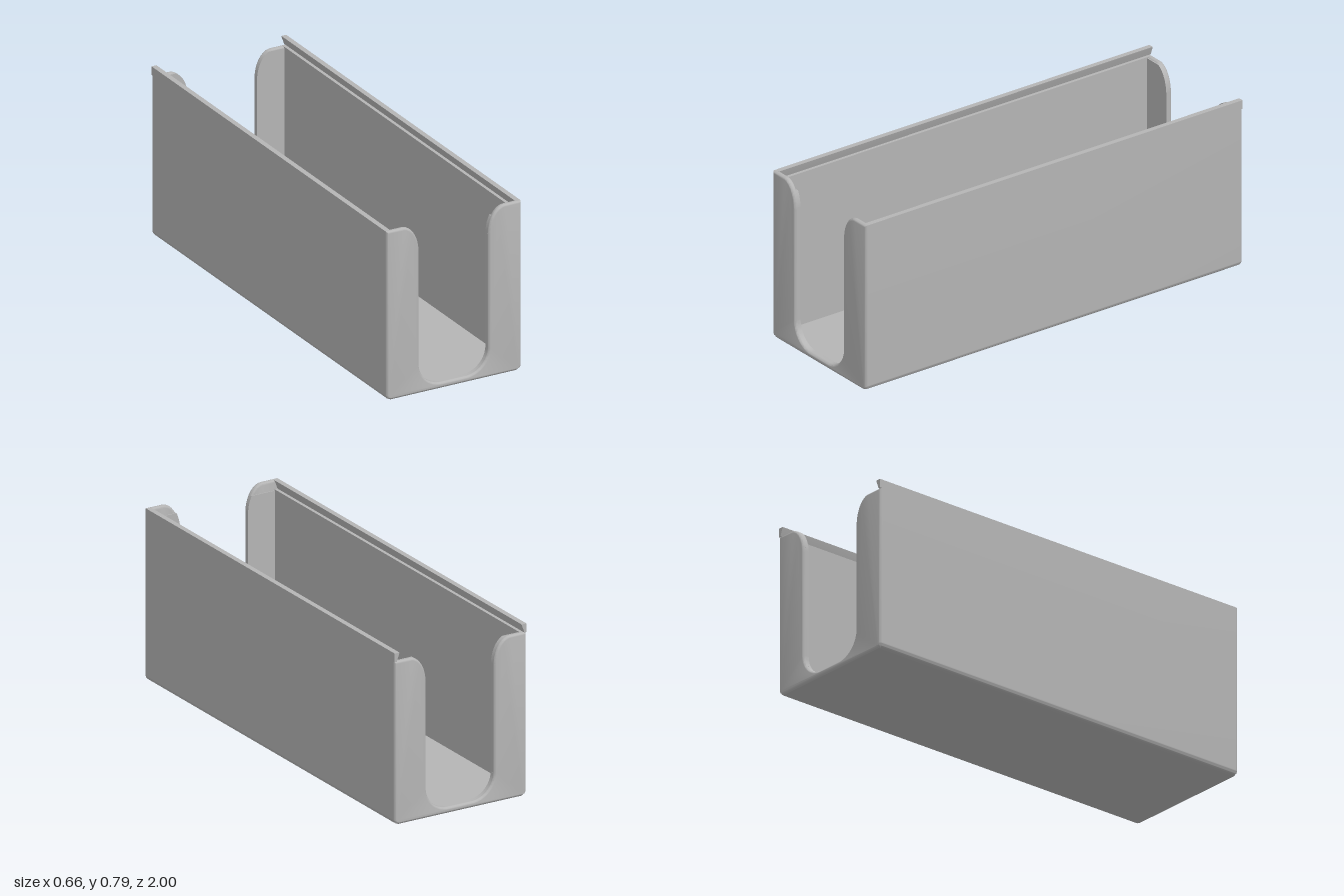
import * as THREE from 'three';
import { toCreasedNormals } from 'three/addons/utils/BufferGeometryUtils.js';

const W = 0.33, H = 0.785, LEDGE = 0.745, R = 0.025, INNER = 0.305, FLOOR = 0.025;

export function createModel() {
  const group = new THREE.Group();
  const grey = new THREE.MeshStandardMaterial({ color: 0xb4b4b4 });
  grey.name = 'grey plastic';

  const add = (geometry, name, parent = group) => {
    const mesh = new THREE.Mesh(toCreasedNormals(geometry, 0.6), grey);
    mesh.name = name;
    parent.add(mesh);
    return mesh;
  };
  const extrude = (shape, z0, z1) => {
    const g = new THREE.ExtrudeGeometry(shape, { depth: z1 - z0, bevelEnabled: false, curveSegments: 10 });
    return g.translate(0, 0, z0);
  };
  // outer bottom outline with rounded corners, ending at the top right
  const outerBottom = (top, w) => {
    const s = new THREE.Shape();
    s.moveTo(-w, top);
    s.lineTo(-w, R);
    s.absarc(-w + R, R, R, Math.PI, 1.5 * Math.PI, false);
    s.lineTo(w - R, 0);
    s.absarc(w - R, R, R, -Math.PI / 2, 0, false);
    s.lineTo(w, top);
    return s;
  };

  // floor and side walls up to the ledge
  const trough = outerBottom(LEDGE, W);
  trough.lineTo(INNER, LEDGE);
  trough.lineTo(INNER, FLOOR);
  trough.lineTo(-INNER, FLOOR);
  trough.lineTo(-INNER, LEDGE);
  add(extrude(trough, -0.987, 0.987), 'floorAndSideWalls');

  // undercut rims that form the lid slot, open at the back
  for (const side of [1, -1]) {
    const pts = [[W, LEDGE], [W, H], [0.306, H], [0.308, 0.778], [0.32, LEDGE]]
      .map(([x, y]) => new THREE.Vector2(side * x, y));
    add(extrude(new THREE.Shape(pts), -1, 0.987), side > 0 ? 'leftRim' : 'rightRim');
  }

  // end panel outline with the U-shaped finger opening
  const endShape = (top, w, roundTop) => {
    const s = outerBottom(top, w);
    const r = 0.11, x = 0.17, base = 0.028, cy = roundTop - 0.125;
    // the rounded shoulder is cut off where the panel stops lower
    const a = Math.asin(Math.min(1, (top - cy) / 0.125));
    s.lineTo(0.25 - 0.08 * Math.cos(a), top);
    s.absellipse(0.25, cy, 0.08, 0.125, Math.PI - a, Math.PI, false, 0);
    s.lineTo(x, base + r);
    s.absarc(x - r, base + r, r, 0, -Math.PI / 2, true);
    s.lineTo(-x + r, base);
    s.absarc(-x + r, base + r, r, -Math.PI / 2, -Math.PI, true);
    s.lineTo(-x, cy);
    s.absellipse(-0.25, cy, 0.08, 0.125, 0, a, false, 0);
    return s;
  };

  // end walls: softly rounded outer panel plus a lower inner lining
  const addEnd = (name, top) => {
    const end = new THREE.Group();
    end.name = name;
    const bevel = 0.012;
    const panel = new THREE.ExtrudeGeometry(endShape(top, W, top), {
      depth: 0.002, curveSegments: 14, bevelEnabled: true,
      bevelThickness: bevel, bevelSize: 0.01, bevelOffset: -0.01, bevelSegments: 4,
    });
    panel.translate(0, 0, 1 - bevel - 0.002);
    // widen the rounding along the bottom edge
    const p = panel.attributes.position;
    for (let i = 0; i < p.count; i++) {
      if (p.getY(i) < 0.0101) p.setY(i, p.getY(i) * 1.7);
    }
    add(panel, 'outerPanel', end);
    add(extrude(endShape(LEDGE - 0.005, W - 0.012, top), 0.97, 0.986), 'innerLining', end);
    group.add(end);
    return end;
  };
  addEnd('frontWall', H);
  addEnd('backWall', LEDGE).rotation.y = Math.PI;

  return group;
}
